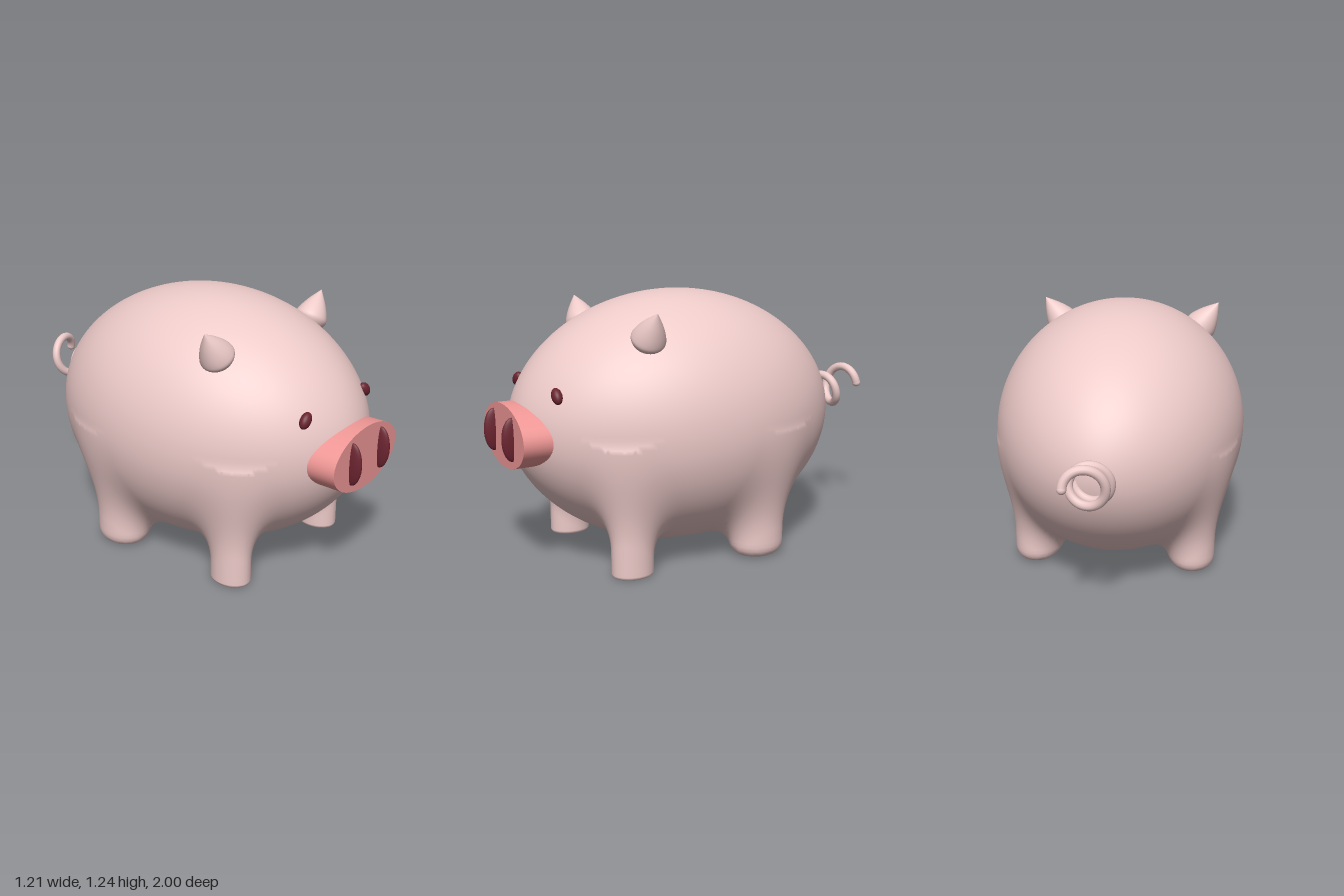
import * as THREE from 'three';

const mat = (color) => new THREE.MeshStandardMaterial({ color, roughness: 0.8 });

const smin = (a, b, k) => {
  const h = Math.max(k - Math.abs(a - b), 0) / k;
  return Math.min(a, b) - h * h * k * 0.25;
};

// Egg-shaped trunk with four legs blended into it; negative inside
const legs = [
  { x: 0.36, z: 0.49, rx: 0.08, rz: 0.1, foot: 0.02 },
  { x: 0.385, z: -0.16, rx: 0.11, rz: 0.13, foot: 0.07 },
];
function bodyField(x, y, z) {
  const rho = Math.hypot(x, y - 0.645) / 0.603;
  const u = (z - 0.08) / (z > 0.08 ? 0.83 : 0.82);
  let d = (Math.sqrt(rho ** 1.82 + u * u) - 1) * 0.6;
  for (const l of legs) {
    const side = (Math.hypot((Math.abs(x) - l.x) / l.rx, (z - l.z) / l.rz) - 1) * Math.min(l.rx, l.rz);
    const leg = -smin(-Math.max(side, y - 0.55), y, l.foot);
    d = smin(d, leg, 0.12);
  }
  return -smin(-d, y, 0.012);
}

function gradient(f, p) {
  const e = 0.002, [x, y, z] = p;
  return [
    (f(x + e, y, z) - f(x - e, y, z)) / (2 * e),
    (f(x, y + e, z) - f(x, y - e, z)) / (2 * e),
    (f(x, y, z + e) - f(x, y, z - e)) / (2 * e),
  ];
}

// Smooth skin over a field: one vertex per crossed cell, one quad per crossed edge
function skin(f, min, max, step) {
  const n = min.map((m, i) => Math.ceil((max[i] - m) / step) + 1);
  const stride = [1, n[0], n[0] * n[1]];
  const val = new Float32Array(n[0] * n[1] * n[2]);
  const cell = new Int32Array(val.length).fill(-1);
  const each = (limit, fn) => {
    for (let k = 0; k < n[2] - limit; k++)
      for (let j = 0; j < n[1] - limit; j++)
        for (let i = 0; i < n[0] - limit; i++) fn([i, j, k], i + j * stride[1] + k * stride[2]);
  };
  each(0, (c, id) => { val[id] = f(...c.map((v, a) => min[a] + v * step)); });

  const pos = [], nor = [], idx = [];
  each(1, (c, id) => {
    const sum = [0, 0, 0];
    let count = 0;
    for (let corner = 0; corner < 8; corner++) {
      const o = [corner & 1, (corner >> 1) & 1, corner >> 2];
      const v0 = val[id + o[0] + o[1] * stride[1] + o[2] * stride[2]];
      for (let a = 0; a < 3; a++) {
        if (o[a]) continue;
        const v1 = val[id + o[0] + o[1] * stride[1] + o[2] * stride[2] + stride[a]];
        if ((v0 < 0) === (v1 < 0)) continue;
        const t = v0 / (v0 - v1);
        for (let b = 0; b < 3; b++) sum[b] += o[b] + (a === b ? t : 0);
        count++;
      }
    }
    if (!count) return;
    let p = c.map((v, a) => min[a] + (v + sum[a] / count) * step);
    for (let r = 0; r < 2; r++) {
      const g = gradient(f, p), d = f(...p);
      const move = Math.max(-step / 2, Math.min(step / 2, d / Math.max(0.2, g[0] ** 2 + g[1] ** 2 + g[2] ** 2)));
      p = p.map((v, a) => v - g[a] * move);
    }
    const g = gradient(f, p), len = Math.hypot(...g) || 1;
    cell[id] = pos.length / 3;
    pos.push(...p);
    nor.push(...g.map((v) => v / len));
  });
  each(1, (c, id) => {
    for (let a = 0; a < 3; a++) {
      const b = (a + 1) % 3, d = (a + 2) % 3;
      if (!c[b] || !c[d]) continue;
      const inside = val[id] < 0;
      if (inside === val[id + stride[a]] < 0) continue;
      const q = [id, id - stride[b], id - stride[b] - stride[d], id - stride[d]].map((i) => cell[i]);
      if (!inside) q.reverse();
      idx.push(q[0], q[1], q[2], q[0], q[2], q[3]);
    }
  });
  const geo = new THREE.BufferGeometry();
  geo.setAttribute('position', new THREE.Float32BufferAttribute(pos, 3));
  geo.setAttribute('normal', new THREE.Float32BufferAttribute(nor, 3));
  geo.setIndex(idx);
  return geo;
}

// Springy tail winding backwards
class TailCurve extends THREE.Curve {
  getPoint(t, target = new THREE.Vector3()) {
    const a = t * Math.PI * 4;
    return target.set(Math.cos(a) * 0.085, 0.64 + 0.065 * t - Math.sin(a) * 0.085, -0.712 - 0.268 * t);
  }
}

export function createModel() {
  const pig = new THREE.Group();
  pig.name = 'pig';
  const pink = mat(0xeccac8), rose = mat(0xf09896), dark = mat(0x6b2430);
  const add = (name, geo, material, x = 0, y = 0, z = 0) => {
    const m = new THREE.Mesh(geo, material);
    m.name = name;
    m.position.set(x, y, z);
    pig.add(m);
    return m;
  };

  add('bodyAndLegs', skin(bodyField, [-0.66, -0.05, -0.8], [0.66, 1.3, 0.97], 0.02), pink);

  // Snout: flat-fronted oval plug
  const snout = new THREE.CylinderGeometry(1, 1, 0.15, 64).rotateX(Math.PI / 2).scale(0.26, 0.145, 1);
  add('snout', snout, rose, 0, 0.632, 0.875);

  const ball = new THREE.SphereGeometry(1, 32, 20);
  const earProfile = new THREE.SplineCurve([
    [0, -0.05], [0.045, -0.04], [0.077, -0.005], [0.074, 0.03], [0.045, 0.09], [0.001, 0.155],
  ].map(([r, h]) => new THREE.Vector2(r, h))).getPoints(24);
  earProfile.forEach((p) => { p.x = Math.max(0, p.x); });
  const ear = new THREE.LatheGeometry(earProfile, 32);

  for (const s of [1, -1]) {
    const side = s > 0 ? 'left' : 'right';
    add(side + 'Nostril', ball, dark, s * 0.118, 0.637, 0.95).scale.set(0.02, 0.1, 0.05);
    const eye = add(side + 'Eye', ball, dark, s * 0.24, 0.836, 0.785);
    eye.scale.set(0.04, 0.027, 0.024);
    eye.rotation.z = -s * 0.85;
    add(side + 'Ear', ear, pink, s * 0.355, 1.066, 0.4).rotation.z = -s * 0.63;
  }

  const tail = new TailCurve();
  add('tail', new THREE.TubeGeometry(tail, 120, 0.021, 12), pink);
  const tip = tail.getPoint(1);
  add('tailTip', ball, pink, tip.x, tip.y, tip.z).scale.setScalar(0.021);
  return pig;
}
